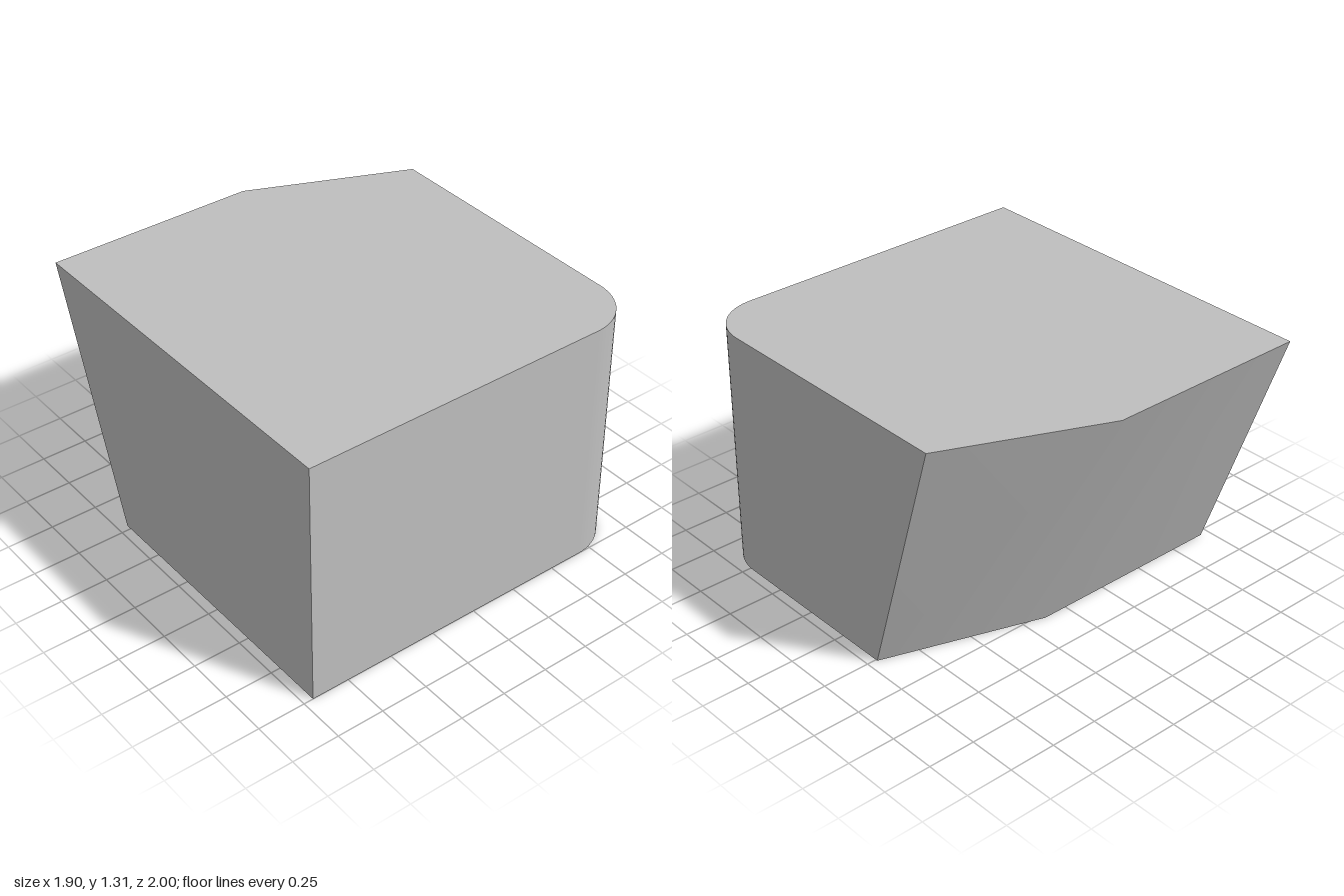
import * as THREE from 'three';
import { toCreasedNormals } from 'three/addons/utils/BufferGeometryUtils.js';

const HEIGHT = 1.31;
const HALF_WIDTH = 0.95;
const RADIUS = 0.27;

// Outline as [x, z], running along the front, round the corner and across the back.
function outline(frontZ, sideBackZ, kinkX, backZ) {
  const points = [[-HALF_WIDTH, frontZ]];
  const segments = 16;
  for (let i = 0; i <= segments; i++) {
    const a = (i / segments) * Math.PI / 2;
    points.push([
      HALF_WIDTH - RADIUS + RADIUS * Math.sin(a),
      frontZ - RADIUS + RADIUS * Math.cos(a),
    ]);
  }
  points.push([HALF_WIDTH, sideBackZ], [kinkX, backZ], [-HALF_WIDTH, backZ]);
  return points.map(([x, z]) => new THREE.Vector2(x, z));
}

// Loft between two convex outlines, closed with a cap at each end.
function loft(bottom, top) {
  const positions = [];
  const lo = bottom.map((p) => [p.x, 0, p.y]);
  const hi = top.map((p) => [p.x, HEIGHT, p.y]);
  const triangle = (a, b, c) => positions.push(...a, ...b, ...c);
  const n = lo.length;
  for (let i = 0; i < n; i++) {
    const j = (i + 1) % n;
    triangle(lo[i], lo[j], hi[j]);
    triangle(lo[i], hi[j], hi[i]);
  }
  for (let i = 1; i < n - 1; i++) {
    triangle(hi[0], hi[i], hi[i + 1]);
    triangle(lo[0], lo[i + 1], lo[i]);
  }
  const geometry = new THREE.BufferGeometry();
  geometry.setAttribute('position', new THREE.Float32BufferAttribute(positions, 3));
  return toCreasedNormals(geometry, THREE.MathUtils.degToRad(35));
}

export function createModel() {
  const grey = new THREE.MeshStandardMaterial({ color: 0xbfbfbf });
  grey.name = 'plain grey';

  // Solid block with one rounded front corner and a back that slopes in towards the base
  const block = new THREE.Mesh(
    loft(outline(1, -0.26, 0.13, -0.53), outline(0.993, -0.65, 0.14, -1)),
    grey,
  );
  block.name = 'block';

  const model = new THREE.Group();
  model.name = 'taperedBlock';
  model.add(block);
  return model;
}
